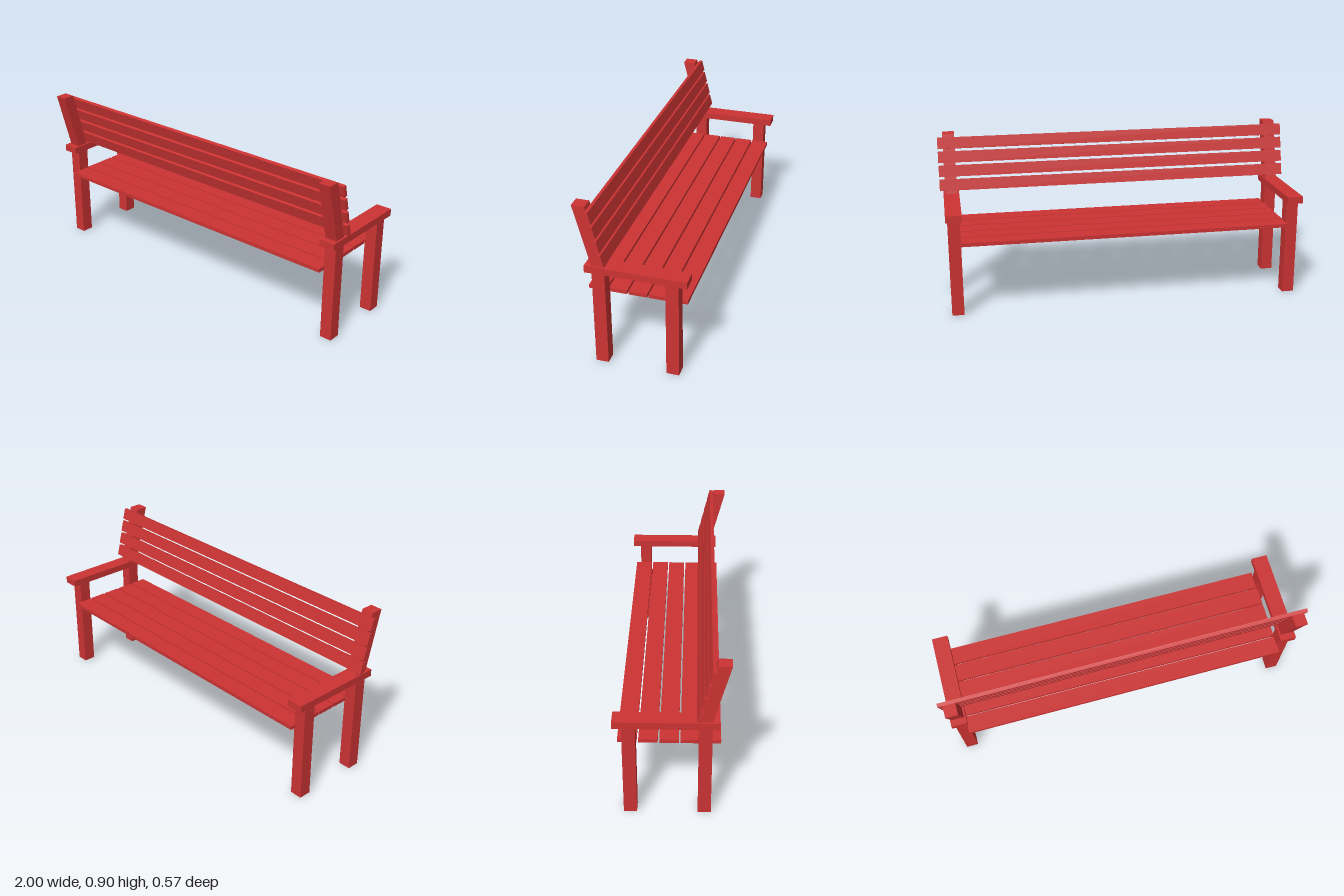
import * as THREE from 'three';

export function createModel() {
  const bench = new THREE.Group();
  bench.name = 'bench';
  const paint = new THREE.MeshStandardMaterial({ color: 0xcc3333 });

  // Box given by its centre x, width, and its y and z ranges
  function addBox(name, x, width, [y0, y1], [z0, z1]) {
    const mesh = new THREE.Mesh(new THREE.BoxGeometry(width, y1 - y0, z1 - z0), paint);
    mesh.name = name;
    mesh.position.set(x, (y0 + y1) / 2, (z0 + z1) / 2);
    bench.add(mesh);
    return mesh;
  }

  // Legs, armrests and leaning back posts on both ends
  for (const [side, s] of [['left', 1], ['right', -1]]) {
    const x = s * 0.9375;
    addBox(`${side}BackrestLeg`, x, 0.066, [0, 0.54], [0.136, 0.203]);
    addBox(`${side}SeatEdgeLeg`, x, 0.066, [0, 0.54], [-0.24, -0.173]);
    addBox(`${side}Armrest`, x, 0.087, [0.54, 0.578], [-0.285, 0.238]);

    // Post sheared so that its ends stay level
    const post = addBox(`${side}BackPost`, x, 0.066, [0.578, 0.903], [0.178, 0.245]);
    const p = post.geometry.attributes.position;
    for (let i = 0; i < p.count; i++) p.setZ(i, p.getZ(i) + p.getY(i) * 0.262);
    post.geometry.computeVertexNormals();
  }

  // Seat slats
  for (let i = 0; i < 5; i++) {
    const z = -0.219 + i * 0.1045;
    addBox(`seatSlat${i + 1}`, 0, 1.815, [0.398, 0.418], [z - 0.048, z + 0.048]);
  }

  // Tilted backrest slats
  for (let i = 0; i < 4; i++) {
    const y = 0.628 + i * 0.076, z = 0.143 + i * 0.0182;
    const slat = addBox(`backSlat${i + 1}`, 0, 2, [y - 0.032, y + 0.032], [z - 0.01, z + 0.01]);
    slat.rotation.x = THREE.MathUtils.degToRad(14.5);
  }

  return bench;
}
